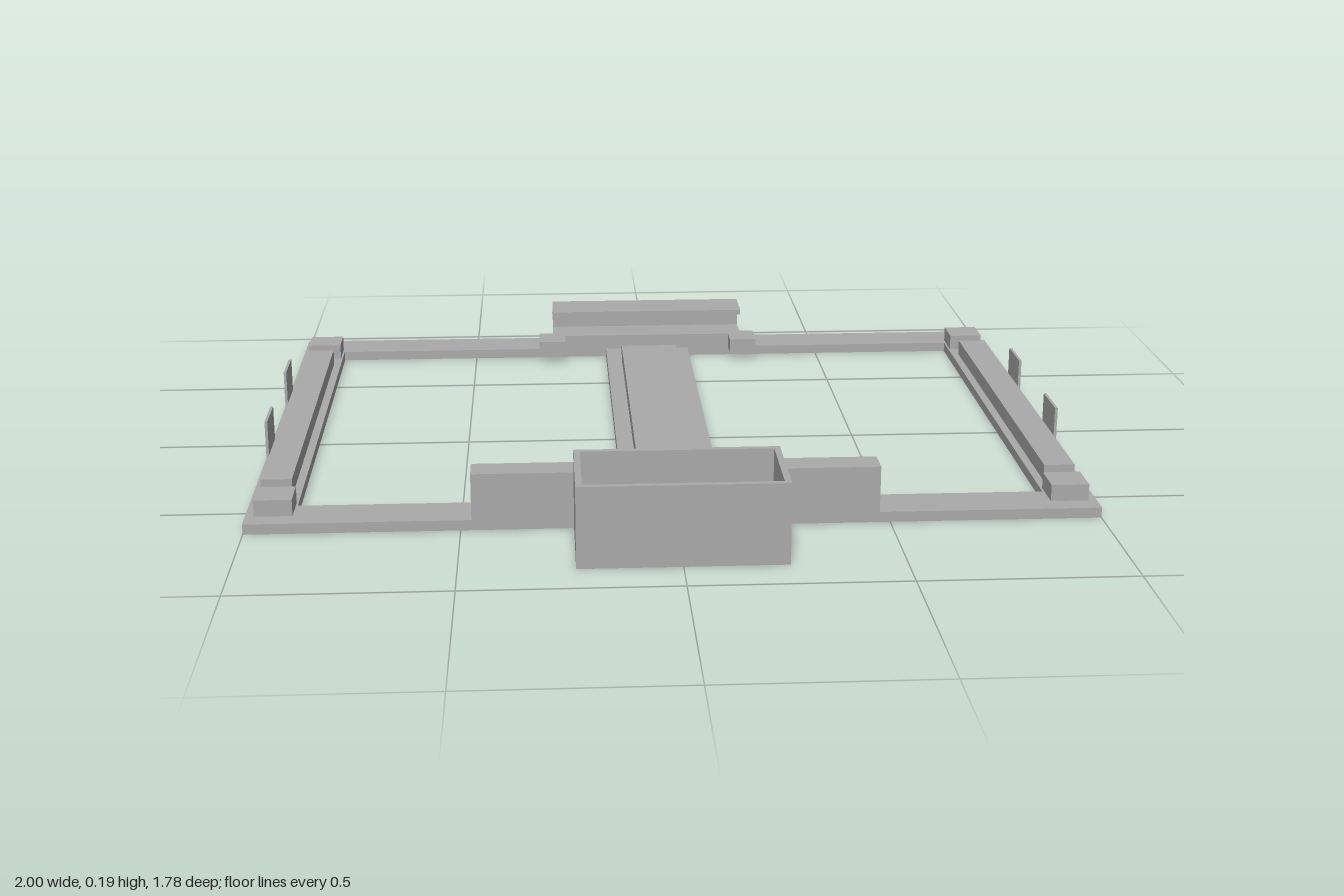
import * as THREE from 'three';

export function createModel() {
  const model = new THREE.Group();
  model.name = 'mountingFrame';
  const grey = new THREE.MeshStandardMaterial({ color: 0xaaaaaa });
  grey.name = 'plain grey';

  const add = (name, geometry) => {
    const mesh = new THREE.Mesh(geometry, grey);
    mesh.name = name;
    model.add(mesh);
    return mesh;
  };
  // Box given by its limits on each axis
  const block = (name, x0, x1, y0, y1, z0, z1) =>
    add(name, new THREE.BoxGeometry(x1 - x0, y1 - y0, z1 - z0)
      .translate((x0 + x1) / 2, (y0 + y1) / 2, (z0 + z1) / 2));
  const points = (list) => list.map(([a, b]) => new THREE.Vector2(a, b));
  const rect = (x0, x1, y0, y1) => points([[x0, y0], [x1, y0], [x1, y1], [x0, y1]]);
  const extrude = (shape, depth) =>
    new THREE.ExtrudeGeometry(shape, { depth, bevelEnabled: false });

  const BASE = 0.025, RAIL = 0.065;
  const BACK = -0.89, FRONT = 0.638, END = 0.89;

  // Flat base: outer frame, centre bar and tray floor (shape y = -z)
  const base = new THREE.Shape(points([
    [-1, -FRONT], [-0.238, -FRONT], [-0.238, -END], [0.238, -END],
    [0.238, -FRONT], [1, -FRONT], [1, -BACK], [-1, -BACK],
  ]));
  base.holes.push(new THREE.Path(rect(-0.885, -0.12, -0.52, 0.77)));
  base.holes.push(new THREE.Path(rect(0.12, 0.885, -0.52, 0.77)));
  add('baseFrame', extrude(base, BASE).rotateX(-Math.PI / 2));

  // Raised rail along the centre bar
  block('centreRail', -0.078, 0.078, BASE, RAIL, -0.652, 0.445);

  for (const s of [-1, 1]) {
    const side = s > 0 ? 'left' : 'right';
    const mirrored = (name, xa, xb, y0, y1, z0, z1) =>
      block(side + name, Math.min(s * xa, s * xb), Math.max(s * xa, s * xb), y0, y1, z0, z1);

    mirrored('SideRail', 0.905, 0.98, BASE, RAIL, -0.652, 0.445);

    // Corner pads and small tabs beside the clips
    for (const [z0, z1] of [[-0.795, -0.703], [0.497, 0.588]]) {
      mirrored('CornerPad', 0.89, 0.98, BASE, RAIL, z0, z1);
      mirrored('LocatingTab', 0.24, 0.315, BASE, RAIL, z0, z1);
    }

    // Thin upright fins on the outer edge
    for (const [z0, z1] of [[-0.38, -0.255], [0.043, 0.17]]) {
      mirrored('EdgeFin', 0.993, 1, BASE, 0.12, z0, z1);
    }
  }

  // C-shaped clip with its wall at zWall and its lips reaching inwards
  const clip = (name, x0, x1, zWall, thick, reach, dir) => {
    const profile = new THREE.Shape(points([
      [0, BASE], [reach, BASE], [reach, RAIL], [thick, RAIL],
      [thick, 0.122], [reach, 0.122], [reach, 0.137], [0, 0.137],
    ].map(([d, y]) => [-(zWall + dir * d), y])));
    add(name, extrude(profile, x1 - x0).rotateY(Math.PI / 2).translate(x0, 0, 0));
  };
  clip('backClip', -0.275, 0.275, BACK, 0.023, 0.125, 1);
  clip('rightFrontClip', -0.475, -0.157, FRONT, 0.028, 0.073, -1);
  clip('leftFrontClip', 0.157, 0.475, FRONT, 0.028, 0.073, -1);

  // Open tray at the front, with a slot through its left wall
  const TOP = 0.192, WALL = 0.015, W = 0.238;
  block('trayBackWall', -W, W, BASE, TOP, FRONT, FRONT + WALL);
  block('trayFrontWall', -W, W, BASE, TOP, END - WALL, END);
  block('trayRightWall', -W, -W + WALL, BASE, TOP, FRONT + WALL, END - WALL);
  const slotted = new THREE.Shape(rect(-(END - WALL), -(FRONT + WALL), BASE, TOP));
  slotted.holes.push(new THREE.Path(rect(-0.815, -0.743, 0.027, 0.1)));
  add('trayLeftWall', extrude(slotted, WALL).rotateY(Math.PI / 2).translate(W - WALL, 0, 0));

  return model;
}
